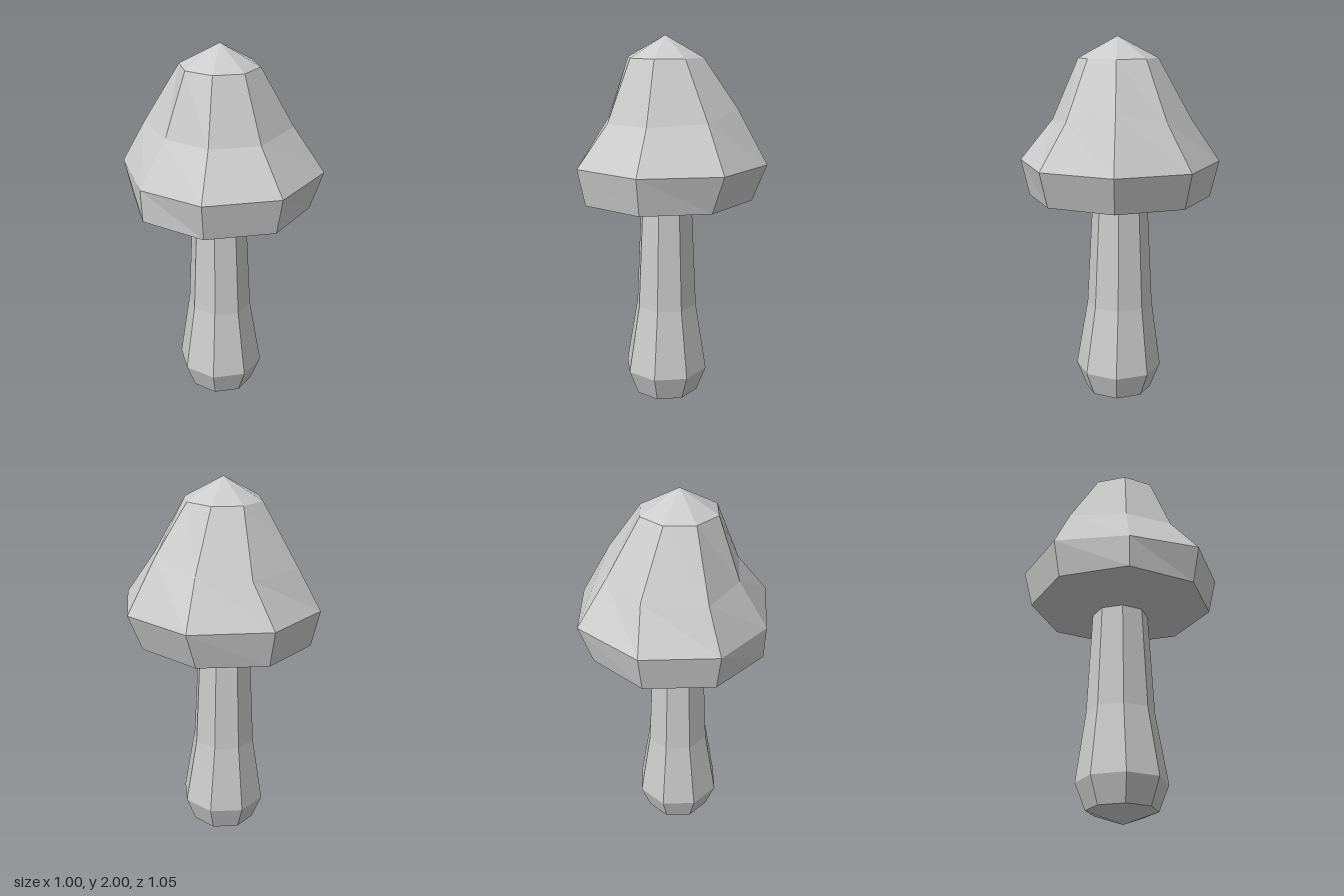
import * as THREE from 'three';

const SIDES = 8;
const CX = -0.035; // axis of the mushroom

// Regular eight-sided ring; corner 0 points right (+x), corner 2 to the front (+z)
function ring(y, rx, rz = rx, cz = 0) {
  return Array.from({ length: SIDES }, (_, k) => {
    const a = (k * Math.PI * 2) / SIDES;
    return [CX + rx * Math.cos(a), y, cz + rz * Math.sin(a)];
  });
}

// A ring shrunk to a single tip
const tip = (y, z) => Array.from({ length: SIDES }, () => [CX, y, z]);

// Faceted skin over rings listed from bottom to top
function loft(name, rings, material) {
  const pos = [];
  const tri = (a, b, c) => {
    const same = (p, q) => p.every((v, i) => v === q[i]);
    if (!same(a, b) && !same(b, c) && !same(a, c)) pos.push(...a, ...b, ...c);
  };
  for (let i = 0; i < rings.length - 1; i++) {
    for (let k = 0; k < SIDES; k++) {
      const n = (k + 1) % SIDES;
      const a = rings[i][k], b = rings[i][n];
      const c = rings[i + 1][n], d = rings[i + 1][k];
      tri(a, d, c);
      tri(a, c, b);
    }
  }
  const geometry = new THREE.BufferGeometry();
  geometry.setAttribute('position', new THREE.Float32BufferAttribute(pos, 3));
  geometry.computeVertexNormals();
  const mesh = new THREE.Mesh(geometry, material);
  mesh.name = name;
  return mesh;
}

export function createModel() {
  const group = new THREE.Group();
  group.name = 'mushroom';
  const material = new THREE.MeshStandardMaterial({ color: 0xcccccc, flatShading: true });

  // Stem: pointed foot, bulbous base, slender neck
  const neck = ring(1.12, 0.14, 0.148, -0.004);
  group.add(loft('stem', [
    tip(0.005, 0.01),
    ring(0.07, 0.175, 0.18, 0.005),
    ring(0.205, 0.227, 0.233, 0.005),
    ring(0.57, 0.166, 0.177, -0.002),
    neck,
  ], material));

  // Slightly uneven rim and waist of the cap
  const rim = [
    [0.5, 1.36, 0], [0.354, 1.36, 0.37], [CX, 1.36, 0.525], [-0.39, 1.36, 0.37],
    [-0.503, 1.34, 0], [-0.39, 1.36, -0.372], [CX, 1.36, -0.527], [0.354, 1.36, -0.37],
  ];
  const waist = [
    [0.342, 1.64, 0], [0.245, 1.59, 0.248], [CX, 1.575, 0.35], [-0.268, 1.575, 0.248],
    [-0.352, 1.57, 0], [-0.298, 1.575, -0.296], [0.008, 1.575, -0.38], [0.245, 1.59, -0.248],
  ];

  // Cap: underside, skirt, bell and pointed crown
  group.add(loft('cap', [
    neck,
    ring(1.17, 0.46, 0.482),
    rim,
    waist,
    ring(1.89, 0.2, 0.207, 0.005),
    tip(2, 0.008),
  ], material));

  return group;
}
